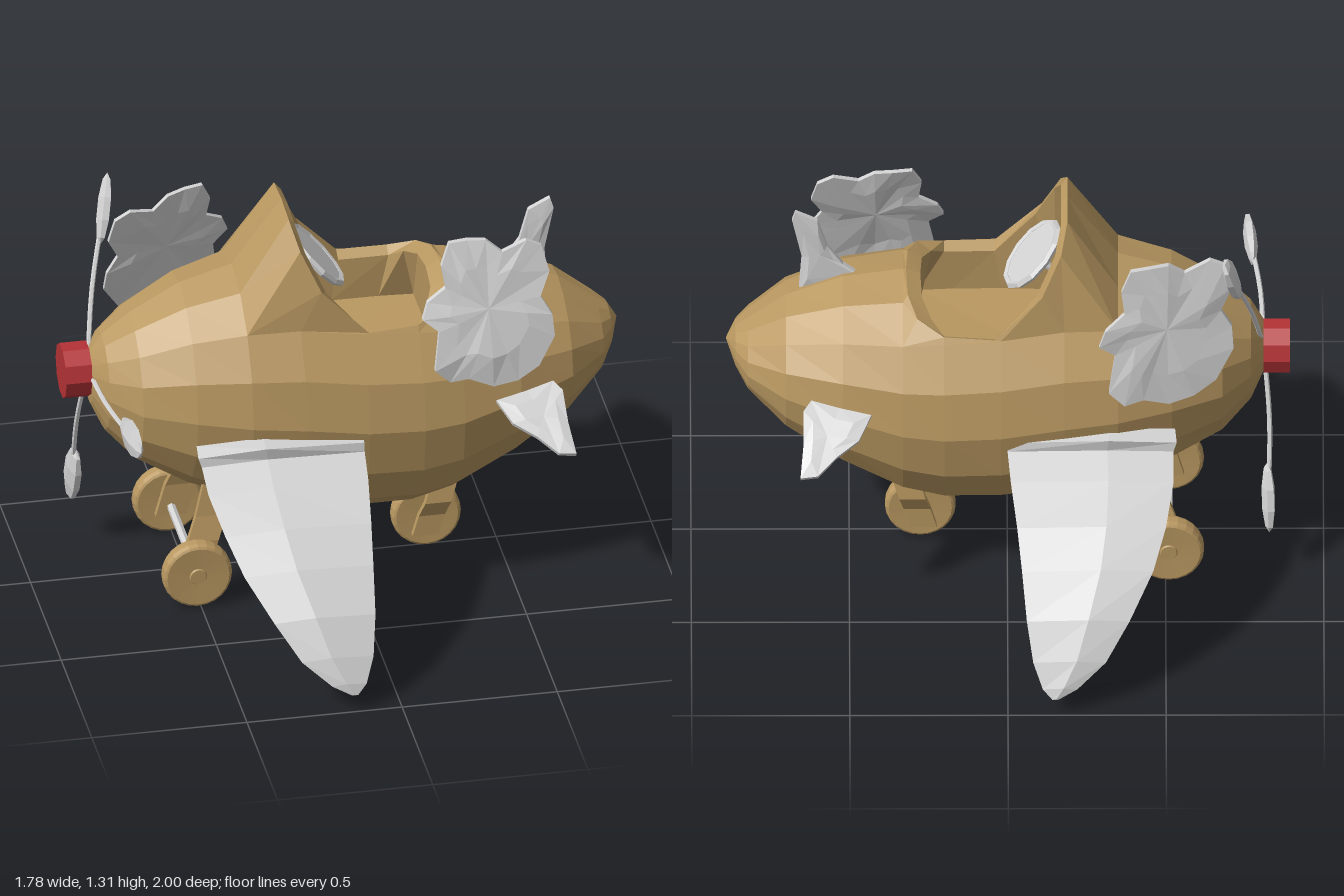
import * as THREE from 'three';

const paint = (name, color) =>
  new THREE.MeshStandardMaterial({ name, color, flatShading: true, side: THREE.DoubleSide });
const V = (x, y, z) => new THREE.Vector3(x, y, z);

// Skin a list of equally long closed loops of points
function loft(loops, skip = () => false) {
  const pos = [];
  for (let i = 0; i < loops.length - 1; i++) {
    const n = loops[i].length;
    for (let j = 0; j < n; j++) {
      if (skip(i, j)) continue;
      const k = (j + 1) % n;
      const [a, b, c, d] = [loops[i][j], loops[i][k], loops[i + 1][k], loops[i + 1][j]];
      for (const p of [a, b, c, a, c, d]) pos.push(p.x, p.y, p.z);
    }
  }
  const g = new THREE.BufferGeometry();
  g.setAttribute('position', new THREE.Float32BufferAttribute(pos, 3));
  g.computeVertexNormals();
  return g;
}

// Thin, slightly crinkled plate: outline in (u, v), place(u, v, offset) puts it in space
function plate(outline, place, thick, crinkle) {
  const n = outline.length;
  const cu = outline.reduce((s, p) => s + p[0], 0) / n;
  const cv = outline.reduce((s, p) => s + p[1], 0) / n;
  const ring = (s, side) => outline.map(([u, v], j) => {
    const wave = s === 0 ? 0 : crinkle * Math.sin(j * 1.5 + s * 3);
    const half = s === 1 ? thick * 0.3 : thick * 0.5;
    return place(cu + (u - cu) * s, cv + (v - cv) * s, wave + side * half);
  });
  return loft([ring(0, 1), ring(0.6, 1), ring(1, 1), ring(1, -1), ring(0.6, -1), ring(0, -1)]);
}

export function createModel() {
  const group = new THREE.Group();
  const tan = paint('tan', 0xb99861);
  const pale = paint('paleGrey', 0xd4d4d4);
  const red = paint('red', 0xb43236);
  const add = (name, geo, mat, parent = group) => {
    const m = new THREE.Mesh(geo, mat);
    m.name = name;
    parent.add(m);
    return m;
  };
  const rod = (name, pts, r) =>
    add(name, new THREE.TubeGeometry(new THREE.CatmullRomCurve3(pts), 8, r, 6), pale);

  // Fuselage: x, bottom, top, half width
  const rows = [
    [-0.82, 0.735, 0.736, 0.001], [-0.81, 0.64, 0.82, 0.07], [-0.77, 0.55, 0.88, 0.15],
    [-0.68, 0.45, 0.95, 0.24], [-0.52, 0.355, 1.04, 0.315], [-0.35, 0.285, 1.09, 0.365],
    [-0.18, 0.245, 1.1, 0.38], [0.02, 0.22, 1.07, 0.39], [0.2, 0.22, 1.05, 0.388],
    [0.33, 0.255, 1.03, 0.375], [0.52, 0.36, 1.0, 0.335], [0.7, 0.485, 0.93, 0.26],
    [0.82, 0.61, 0.84, 0.16], [0.86, 0.68, 0.81, 0.09], [0.89, 0.76, 0.761, 0.001],
  ];
  const N = 16;
  const body = rows.map(([x, lo, hi, w]) => Array.from({ length: N }, (_, j) => {
    const t = (j / N) * Math.PI * 2;
    return V(x, (lo + hi) / 2 + (hi - lo) / 2 * Math.cos(t), w * Math.sin(t) - 0.01);
  }));
  const inCockpit = (i, j) => i >= 5 && i < 9 && (j < 2 || j >= N - 2);
  add('fuselage', loft(body, inCockpit), tan);

  // Cockpit: raised hood and rim, inner tub and floor
  const mirror = (half) => [...half, ...half.slice(1, -1).reverse().map((p) => V(p.x, p.y, -0.02 - p.z))];
  const base = [[5, 0], [5, 1], [5, 2], [6, 2], [7, 2], [8, 2], [9, 2], [9, 1], [9, 0]]
    .map(([i, j]) => body[i][j]);
  const rim = [
    [-0.19, 1.31, -0.01], [-0.19, 1.3, 0.11], [-0.17, 1.23, 0.2], [-0.11, 1.1, 0.245],
    [0.04, 0.945, 0.26], [0.2, 0.95, 0.25], [0.285, 0.985, 0.2], [0.315, 1.015, 0.11], [0.32, 1.03, -0.01],
  ].map((p) => V(...p));
  const lip = rim.map((p) => V(p.x + (p.x < 0 ? 0.02 : p.x > 0.25 ? -0.045 : 0), p.y - 0.02, p.z * 0.87));
  const floor = base.map((p) => V(p.x * 0.85, 0.78, p.z * 0.85));
  const middle = floor.map(() => V(0, 0.77, -0.01));
  add('cockpitHood', loft([base, rim].map(mirror)), tan);
  add('cockpitInside', loft([rim, lip, floor, middle].map(mirror)), tan);

  // Steering wheel on its column
  const wheelGroup = new THREE.Group();
  wheelGroup.name = 'steeringWheel';
  wheelGroup.position.set(-0.08, 1.09, -0.015);
  wheelGroup.rotation.z = -0.83;
  group.add(wheelGroup);
  add('wheelDisc', new THREE.CylinderGeometry(0.11, 0.11, 0.012, 12), pale, wheelGroup);
  const hoop = add('wheelHoop', new THREE.TorusGeometry(0.12, 0.012, 5, 12), pale, wheelGroup);
  hoop.rotation.x = Math.PI / 2;
  rod('steeringColumn', [V(-0.08, 1.09, -0.01), V(-0.15, 1.02, -0.01), V(-0.24, 0.92, -0.01)], 0.012);

  // Drooping wings: distance out, height, leading x, trailing x, thickness
  const wing = [
    [0.33, 0.635, -0.53, 0, 0.03], [0.385, 0.62, -0.535, 0, 0.05], [0.39, 0.59, -0.525, 0, 0.03],
    [0.5, 0.55, -0.525, -0.01, 0.03], [0.65, 0.48, -0.5, -0.03, 0.035], [0.76, 0.39, -0.46, -0.045, 0.035],
    [0.87, 0.275, -0.385, -0.06, 0.035], [0.94, 0.165, -0.31, -0.08, 0.03],
    [0.98, 0.09, -0.22, -0.11, 0.02], [0.995, 0.06, -0.16, -0.14, 0.005],
  ];
  // Small tailplane, outline in x and distance out
  const tailplane = [[0.43, 0.36], [0.53, 0.34], [0.62, 0.32], [0.645, 0.35], [0.645, 0.44],
    [0.655, 0.53], [0.6, 0.525], [0.54, 0.475], [0.47, 0.43]];
  for (const s of [1, -1]) {
    const side = s > 0 ? 'left' : 'right';
    const loops = wing.map(([z, y, a, b, t]) => {
      const q = t * 0.5, m = a + (b - a) * 0.4;
      return [V(a, y, s * z), V(m, y + q, s * (z + q)), V(b, y, s * z), V(m, y - q, s * (z - q))];
    });
    loops.push(loops.at(-1).map(() => V(-0.15, 0.06, s * 0.995)));
    add(side + 'Wing', loft(loops), pale);
    add(side + 'Tailplane', plate(tailplane,
      (u, v, o) => V(u, 0.73 - (v - 0.33) * 0.72 + o, s * (v + o * 0.6)), 0.02, 0.003), pale);
  }

  // Tail fin
  const fin = [[0.43, 0.96], [0.55, 0.93], [0.66, 0.92], [0.65, 1.06], [0.68, 1.2],
    [0.67, 1.235], [0.6, 1.2], [0.57, 1.1], [0.52, 1.03]];
  add('tailFin', plate(fin, (u, v, o) => V(u, v, 0.02 + o), 0.03, 0.004), pale);

  // Lobed side flaps
  const lobes = [[0.3, 1.235], [0.36, 1.235], [0.42, 1.23], [0.47, 1.19], [0.55, 1.215], [0.6, 1.19],
    [0.62, 1.11], [0.585, 1.04], [0.62, 0.98], [0.625, 0.91], [0.57, 0.82], [0.5, 0.78], [0.42, 0.77],
    [0.34, 0.805], [0.28, 0.8], [0.23, 0.85], [0.25, 0.97], [0.2, 1.01], [0.22, 1.06], [0.28, 1.1], [0.27, 1.17]];
  add('leftFlap', plate(lobes, (u, v, o) =>
    V(u, v, 0.365 - Math.max(0, v - 0.85) * 0.33 - (u - 0.3) * 0.06 + o), 0.03, 0.005), pale);
  add('rightFlap', plate(lobes, (u, v, o) =>
    V(-0.09 - u, v - 0.01, -0.31 - (0.41 - u) * 0.38 + (v - 1) * 0.25 + o), 0.03, 0.005), pale);

  // Propeller hub and three blades on bent stalks
  const hub = add('propellerHub', new THREE.CylinderGeometry(0.09, 0.09, 0.085, 10), red);
  hub.rotation.z = Math.PI / 2;
  hub.position.set(-0.852, 0.745, -0.035);
  const root = V(-0.81, 0.745, -0.03);
  for (const end of [V(-0.71, 1.18, -0.275), V(-0.77, 0.78, 0.485), V(-0.825, 0.27, -0.2)]) {
    const mid = root.clone().lerp(end, 0.5).add(V(-0.012, 0, 0));
    rod('propellerStalk', [root, mid, end], 0.008);
    const blade = add('propellerBlade', new THREE.SphereGeometry(1, 6, 5), pale);
    blade.scale.set(0.022, 0.115, 0.054);
    blade.position.copy(end);
    blade.quaternion.setFromUnitVectors(V(0, 1, 0), end.clone().sub(root).normalize());
  }

  // Wheels with a rounded tread and raised hub
  const tread = [[0, -0.032], [0.025, -0.032], [0.028, -0.027], [0.1, -0.03], [0.107, -0.026], [0.112, -0.012],
    [0.112, 0.012], [0.107, 0.026], [0.1, 0.03], [0.028, 0.027], [0.025, 0.032], [0, 0.032]]
    .map(([r, h]) => new THREE.Vector2(r, h));
  for (const [x, z] of [[-0.51, 0.23], [-0.51, -0.255], [0.275, -0.012]]) {
    const w = add('wheel', new THREE.LatheGeometry(tread, 24), tan);
    w.rotation.x = Math.PI / 2;
    w.position.set(x, 0.115, z);
  }
  rod('axle', [V(-0.51, 0.12, 0.23), V(-0.51, 0.12, -0.255)], 0.014);

  // Flat bent struts: x, y, z centres, front to back width
  const strut = (pts, w) => add('wheelStrut', loft(pts.map(([x, y, z]) =>
    [V(x - w, y, z - 0.011), V(x + w, y, z - 0.011), V(x + w, y, z + 0.011), V(x - w, y, z + 0.011)])), tan);
  for (const s of [1, -1]) {
    strut([[-0.51, 0.09, s * 0.185 - 0.01], [-0.48, 0.2, s * 0.185 - 0.01],
      [-0.45, 0.28, s * 0.165 - 0.01], [-0.42, 0.4, s * 0.15 - 0.01]], 0.05);
    strut([[0.265, 0.06, s * 0.045 - 0.012], [0.285, 0.13, s * 0.045 - 0.012],
      [0.3, 0.19, s * 0.075 - 0.012], [0.34, 0.32, s * 0.055 - 0.012]], 0.042);
  }
  return group;
}
